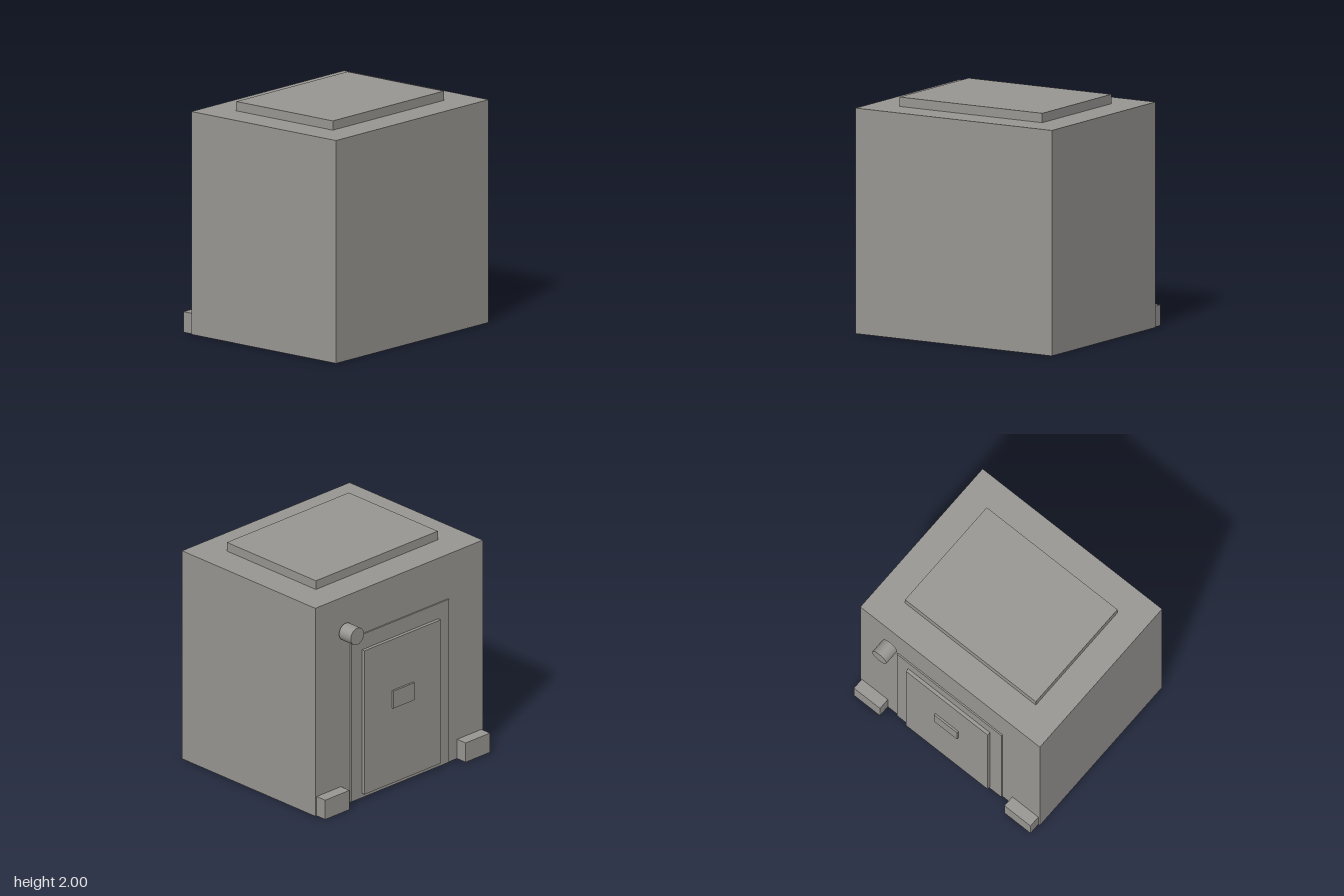
import * as THREE from 'three';

export function createModel() {
  const group = new THREE.Group();
  const grey = new THREE.MeshStandardMaterial({ color: 0x989692 });
  grey.name = 'warm grey';

  // Box given by its minimum and maximum corners
  const box = (name, [x0, y0, z0], [x1, y1, z1]) => {
    const mesh = new THREE.Mesh(new THREE.BoxGeometry(x1 - x0, y1 - y0, z1 - z0), grey);
    mesh.position.set((x0 + x1) / 2, (y0 + y1) / 2, (z0 + z1) / 2);
    mesh.name = name;
    group.add(mesh);
  };

  // Main block and raised roof slab
  box('body', [-0.978, 0, -0.722], [0.978, 1.92, 0.88]);
  box('roofSlab', [-0.712, 1.92, -0.455], [0.712, 2, 0.615]);

  // Stepped door on the back wall
  box('doorFrame', [-0.57, 0.005, -0.735], [0.57, 1.51, -0.722]);
  box('doorPanel', [-0.445, 0.045, -0.765], [0.445, 1.37, -0.735]);
  box('doorPlate', [-0.125, 0.74, -0.782], [0.125, 0.9, -0.765]);

  // Low blocks at the foot of the back wall
  for (const [name, s] of [['leftFootBlock', 1], ['rightFootBlock', -1]]) {
    const xs = [s * 0.678, s * 0.962].sort((a, b) => a - b);
    box(name, [xs[0], 0, -0.825], [xs[1], 0.178, -0.722]);
  }

  // Round lamp standing just off the back wall
  const lamp = new THREE.Mesh(new THREE.CylinderGeometry(0.077, 0.077, 0.14, 32), grey);
  lamp.rotation.x = Math.PI / 2;
  lamp.position.set(0.64, 1.604, -0.81);
  lamp.name = 'lamp';
  group.add(lamp);

  return group;
}
